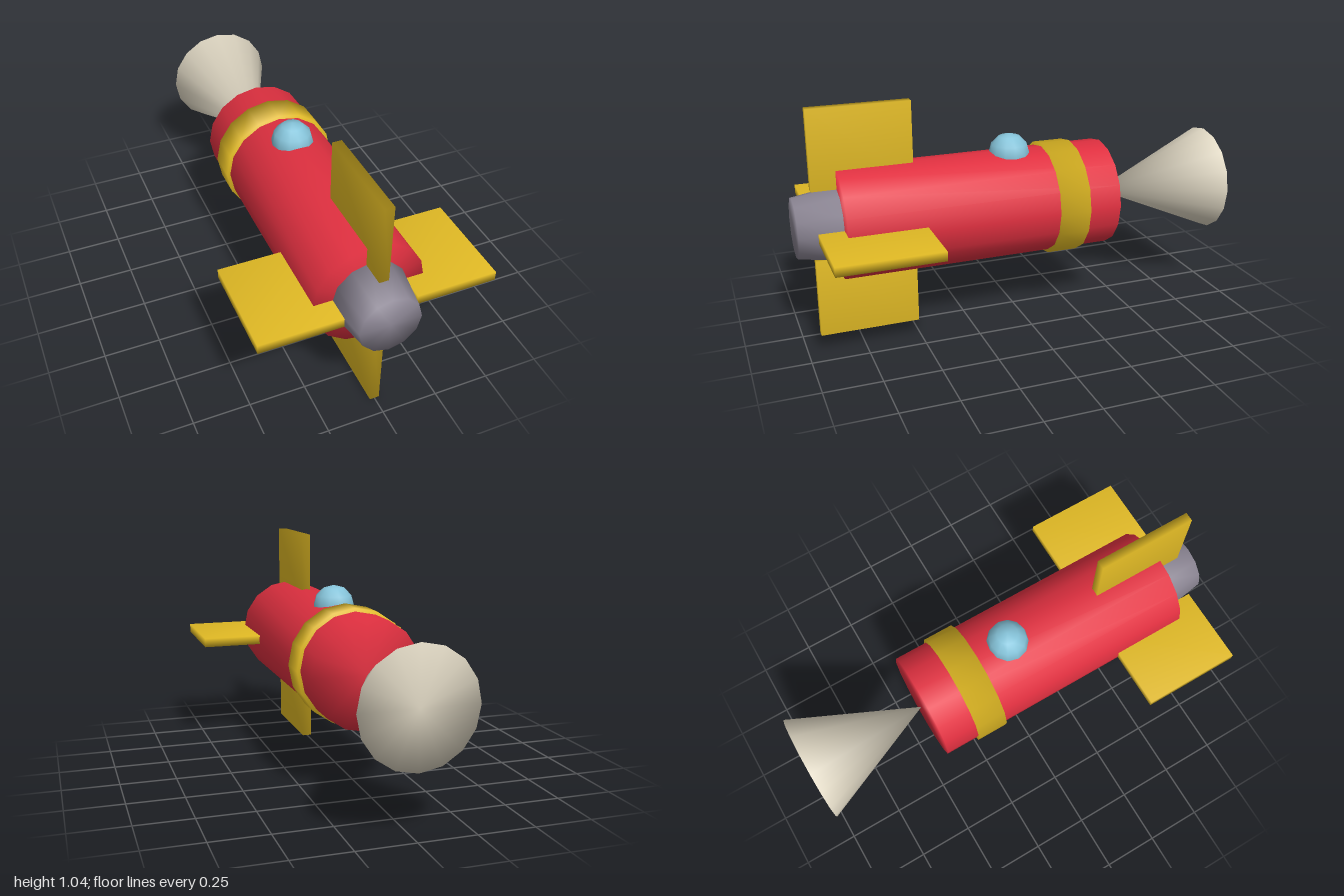
import * as THREE from 'three';
import { mergeVertices } from 'three/addons/utils/BufferGeometryUtils.js';

const AXIS_Y = 0.52; // height of the rocket's long axis

function flat(name, color) {
  const m = new THREE.MeshStandardMaterial({ color });
  m.name = name;
  return m;
}

// Weld shared corners so the shading runs smoothly over every edge
function soften(geometry) {
  geometry.deleteAttribute('uv');
  geometry.deleteAttribute('normal');
  const welded = mergeVertices(geometry, 1e-4);
  welded.computeVertexNormals();
  return welded;
}

export function createModel() {
  const rocket = new THREE.Group();
  rocket.name = 'rocket';

  const red = flat('red', 0xe03040);
  const yellow = flat('yellow', 0xe0b924);
  const grey = flat('grey', 0x8c8694);
  const cream = flat('cream', 0xded6c2);
  const blue = flat('blue', 0x86c4da);

  function add(name, geometry, material) {
    const mesh = new THREE.Mesh(soften(geometry), material);
    mesh.name = name;
    rocket.add(mesh);
    return mesh;
  }

  // Round section along z, from zBack to zFront
  function section(name, rFront, rBack, zBack, zFront, sides, material) {
    const g = new THREE.CylinderGeometry(rFront, rBack, zFront - zBack, sides);
    g.rotateX(Math.PI / 2);
    add(name, g, material).position.set(0, AXIS_Y, (zBack + zFront) / 2);
  }

  section('body', 0.247, 0.247, -0.435, 0.81, 16, red);
  section('band', 0.262, 0.262, -0.28, -0.14, 16, yellow);
  section('noseCone', 0, 0.247, -1, -0.437, 16, cream);
  section('nozzle', 0.135, 0.165, 0.81, 1, 12, grey);

  // Four fins around the nozzle end
  ['left', 'top', 'right', 'bottom'].forEach((side, i) => {
    const g = new THREE.BoxGeometry(0.36, 0.042, 0.45);
    g.translate(0.34, 0, 0);
    g.rotateZ(i * Math.PI / 2);
    add(side + 'Fin', g, yellow).position.set(0, AXIS_Y, 0.695);
  });

  // Domed window, half sunk into the body
  add('windowDome', new THREE.SphereGeometry(0.095, 12, 6), blue).position.set(0, 0.75, 0.017);

  return rocket;
}
